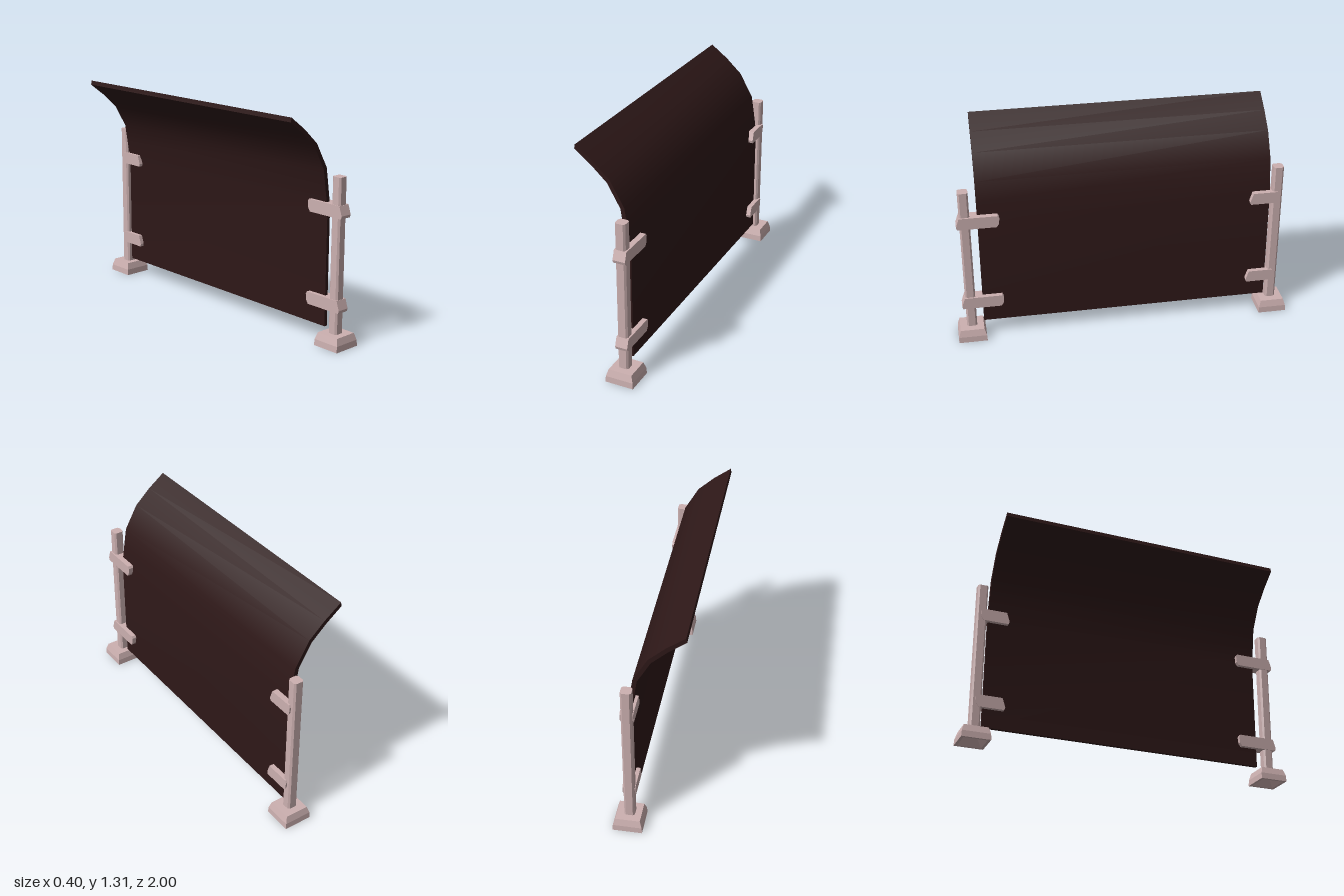
import * as THREE from 'three';
import { toCreasedNormals } from 'three/addons/utils/BufferGeometryUtils.js';

const metal = new THREE.MeshStandardMaterial({ color: 0xccb0b0, flatShading: true });
const dark = new THREE.MeshStandardMaterial({ color: 0x2e1818 });

function extrude(points, depth) {
  const shape = new THREE.Shape(points.map(([x, y]) => new THREE.Vector2(x, y)));
  return new THREE.ExtrudeGeometry(shape, { depth, bevelEnabled: false });
}

function addMesh(parent, name, geometry, material) {
  const mesh = new THREE.Mesh(geometry, material);
  mesh.name = name;
  parent.add(mesh);
  return mesh;
}

// Strap lying along z from z0 (inner/low end) to z1, with blunted ends
function clampGeometry(z0, z1) {
  const profile = [
    [z0 + 0.017, -0.035], [z1 - 0.005, -0.035], [z1, -0.018], [z1 - 0.018, 0.036],
    [z0 + 0.008, 0.036], [z0, 0.022], [z0 + 0.004, -0.015],
  ].map(([z, y]) => [-z, y]);
  return extrude(profile, 0.073).rotateY(Math.PI / 2).translate(0.076, 0, 0);
}

// Post with narrow chamfered corners
function postGeometry() {
  const a = 0.03, b = 0.02;
  const outline = [[a, -b], [a, b], [b, a], [-b, a], [-a, b], [-a, -b], [-b, -a], [b, -a]];
  return extrude(outline, 0.92).rotateX(-Math.PI / 2).translate(0, 0.045, 0);
}

// Square foot: hollow below, upright rim, sloping shoulder, flat top
function footGeometry() {
  const profile = [
    [0, 0.05], [0.03, 0.05], [0.068, 0.0], [0.084, 0], [0.082, 0.036], [0.07, 0.076], [0, 0.076],
  ].map(([half, y]) => new THREE.Vector2(half * Math.SQRT2, y));
  return new THREE.LatheGeometry(profile, 4, Math.PI / 4);
}

export function createModel() {
  const model = new THREE.Group();
  model.name = 'curvedScreen';

  // Upright sheet curling over towards -x at the top
  const sheet = [
    [0.1, 0.095], [0.12, 0.095], [0.12, 0.78], [0.104, 0.885], [0.085, 1.004],
    [0.003, 1.147], [-0.092, 1.234], [-0.195, 1.31],
    [-0.2, 1.285], [-0.102, 1.21], [-0.013, 1.128], [0.062, 0.996], [0.081, 0.877], [0.1, 0.77],
  ];
  const sheetGeometry = toCreasedNormals(extrude(sheet, 1.716).translate(0, 0, -0.874), 0.65);
  addMesh(model, 'panel', sheetGeometry, dark);

  // A post, foot and two clamps at each end
  for (const side of [1, -1]) {
    const support = new THREE.Group();
    support.name = side > 0 ? 'frontSupport' : 'backSupport';
    model.add(support);
    addMesh(support, 'post', postGeometry(), metal).position.set(0.11, 0, side * 0.915);
    addMesh(support, 'foot', footGeometry(), metal).position.set(0.113, 0, side * 0.916);
    const [z0, z1] = side > 0 ? [0.718, 0.965] : [-0.922, -0.75];
    for (const y of [0.24, 0.775]) {
      addMesh(support, 'clamp', clampGeometry(z0, z1), metal).position.y = y;
    }
  }
  return model;
}
